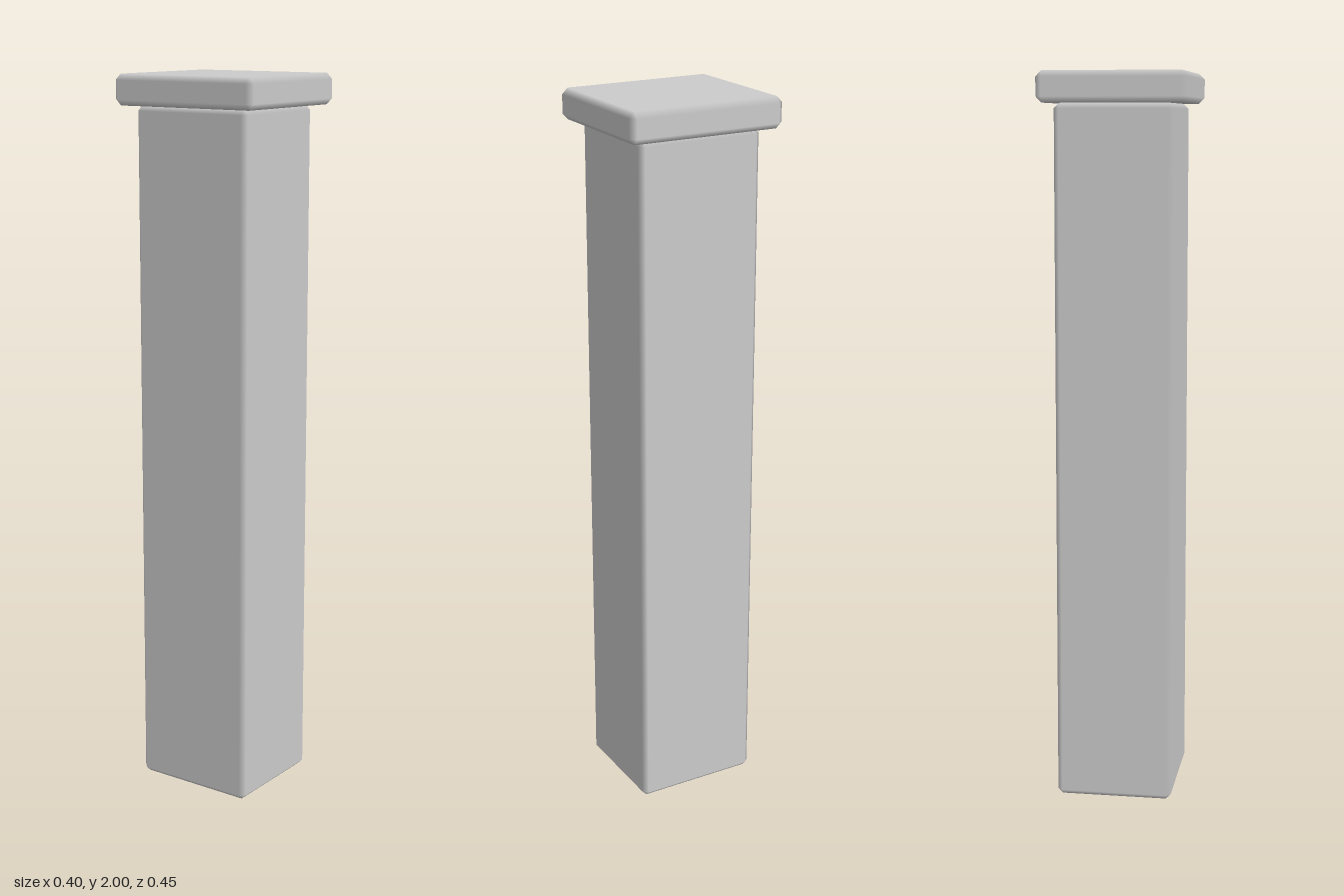
import * as THREE from 'three';
import { ConvexGeometry } from 'three/addons/geometries/ConvexGeometry.js';

// Box with chamfered edges; flat faces, shading blends across each chamfer
function chamferedBox(width, height, depth, chamfer) {
  const half = [width / 2, height / 2, depth / 2];
  const points = [];
  for (const sx of [-1, 1]) for (const sy of [-1, 1]) for (const sz of [-1, 1]) {
    const sign = [sx, sy, sz];
    for (let axis = 0; axis < 3; axis++) {
      const p = half.map((h, i) => sign[i] * (i === axis ? h : h - chamfer));
      points.push(new THREE.Vector3(...p));
    }
  }
  const geometry = new ConvexGeometry(points);

  // Each vertex takes the normal of the main face it lies on
  const pos = geometry.attributes.position;
  const normal = geometry.attributes.normal;
  for (let i = 0; i < pos.count; i++) {
    const p = [pos.getX(i), pos.getY(i), pos.getZ(i)];
    const n = p.map((v, a) => (Math.abs(v) > half[a] - chamfer / 2 ? Math.sign(v) : 0));
    normal.setXYZ(i, ...n);
  }
  return geometry;
}

export function createModel() {
  const model = new THREE.Group();
  model.name = 'post';
  const material = new THREE.MeshStandardMaterial({ color: 0xcccccc });

  const addBlock = (name, width, depth, bottom, top, chamfer) => {
    const mesh = new THREE.Mesh(chamferedBox(width, top - bottom, depth, chamfer), material);
    mesh.name = name;
    mesh.position.y = (top + bottom) / 2;
    model.add(mesh);
  };

  // Tall shaft with a wider slab on top
  addBlock('shaft', 0.32, 0.356, 0, 1.917, 0.014);
  addBlock('cap', 0.4, 0.446, 1.917, 2, 0.016);
  return model;
}
